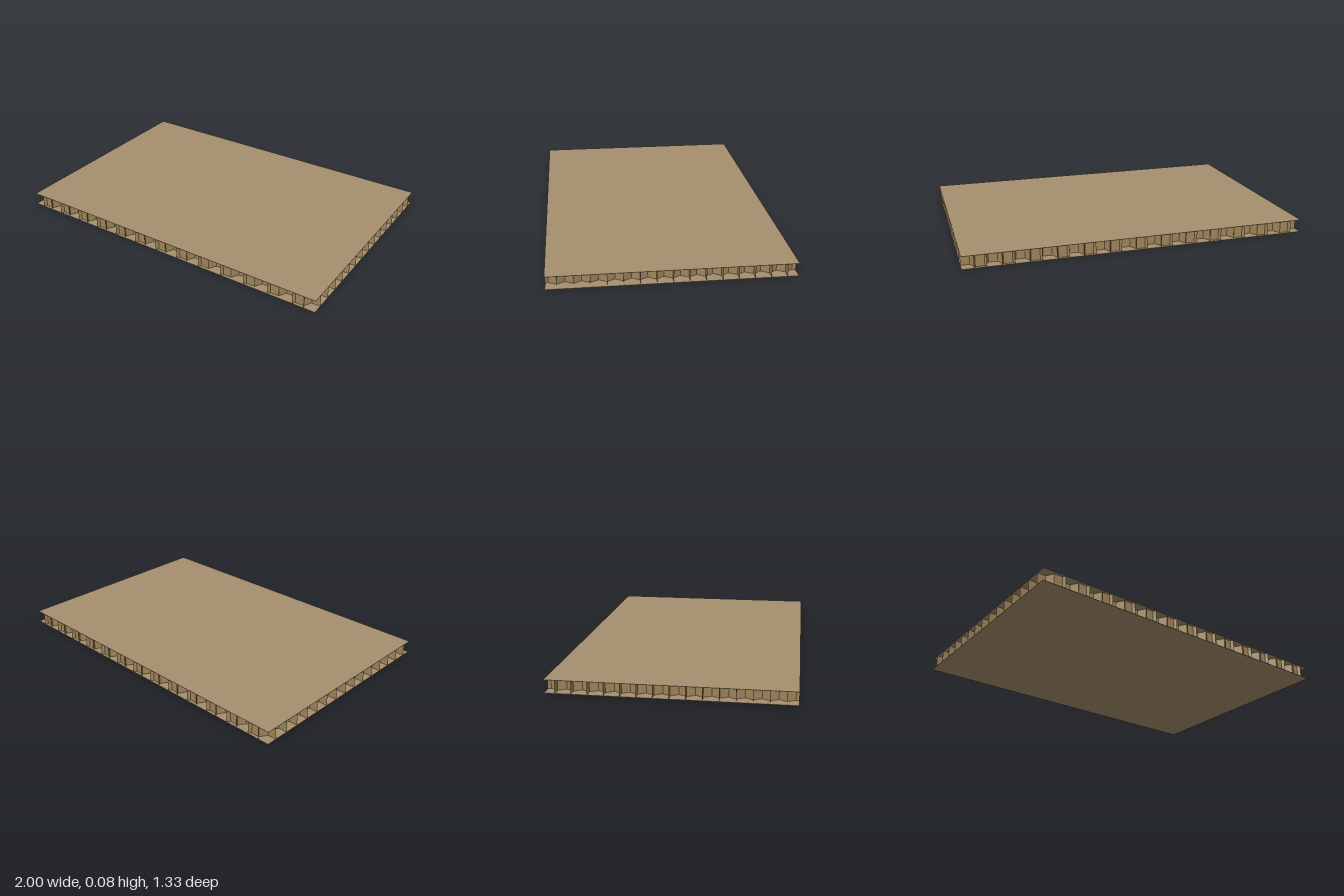
import * as THREE from 'three';

const HEIGHT = 0.075, SKIN = 0.002;
const HALF_X = 1, HALF_Z = 0.667;
const S = 0.05;                       // hexagon side
const PITCH = 1.5 * S;                // distance between cell columns
const H = S * Math.sqrt(3) / 2;       // half a cell along z
const COLS = 13, ROWS = 16;

export function createModel() {
  const group = new THREE.Group();
  const skinMat = new THREE.MeshStandardMaterial({ color: 0xa68f6e });
  const coreMat = new THREE.MeshStandardMaterial({
    color: 0xa0865c, side: THREE.DoubleSide, flatShading: true,
  });

  // Face sheets
  const sheetGeo = new THREE.BoxGeometry(2 * HALF_X, SKIN, 2 * HALF_Z);
  for (const [name, y] of [['bottomSheet', SKIN / 2], ['topSheet', HEIGHT - SKIN / 2]]) {
    const sheet = new THREE.Mesh(sheetGeo, skinMat);
    sheet.name = name;
    sheet.position.y = y;
    group.add(sheet);
  }

  // Honeycomb core: upright paper walls, trimmed at the sheet edges
  const pos = [], y0 = SKIN, y1 = HEIGHT - SKIN;
  const wall = (ax, az, bx, bz) => pos.push(
    ax, y0, az, bx, y0, bz, bx, y1, bz,
    ax, y0, az, bx, y1, bz, ax, y1, az);
  const isFlat = (k, j) => (j + k) % 2 !== 0;

  for (let k = -COLS; k <= COLS; k++) {
    const cx = k * PITCH;
    // Straight walls across each column
    for (let j = -ROWS; j <= ROWS; j++) {
      if (isFlat(k, j) && Math.abs(j * H) < HALF_Z) wall(cx - S / 2, j * H, cx + S / 2, j * H);
    }
    if (k === COLS) break;
    // Zigzag wall shared with the next column
    const zigX = (j) => cx + (isFlat(k, j) ? S / 2 : S);
    for (let j = -ROWS; j < ROWS; j++) {
      const za = Math.max(j * H, -HALF_Z), zb = Math.min((j + 1) * H, HALF_Z);
      const xAt = (z) => THREE.MathUtils.lerp(zigX(j), zigX(j + 1), z / H - j);
      wall(xAt(za), za, xAt(zb), zb);
    }
  }
  const coreGeo = new THREE.BufferGeometry();
  coreGeo.setAttribute('position', new THREE.Float32BufferAttribute(pos, 3));
  coreGeo.computeVertexNormals();
  const core = new THREE.Mesh(coreGeo, coreMat);
  core.name = 'honeycombCore';
  group.add(core);

  return group;
}
